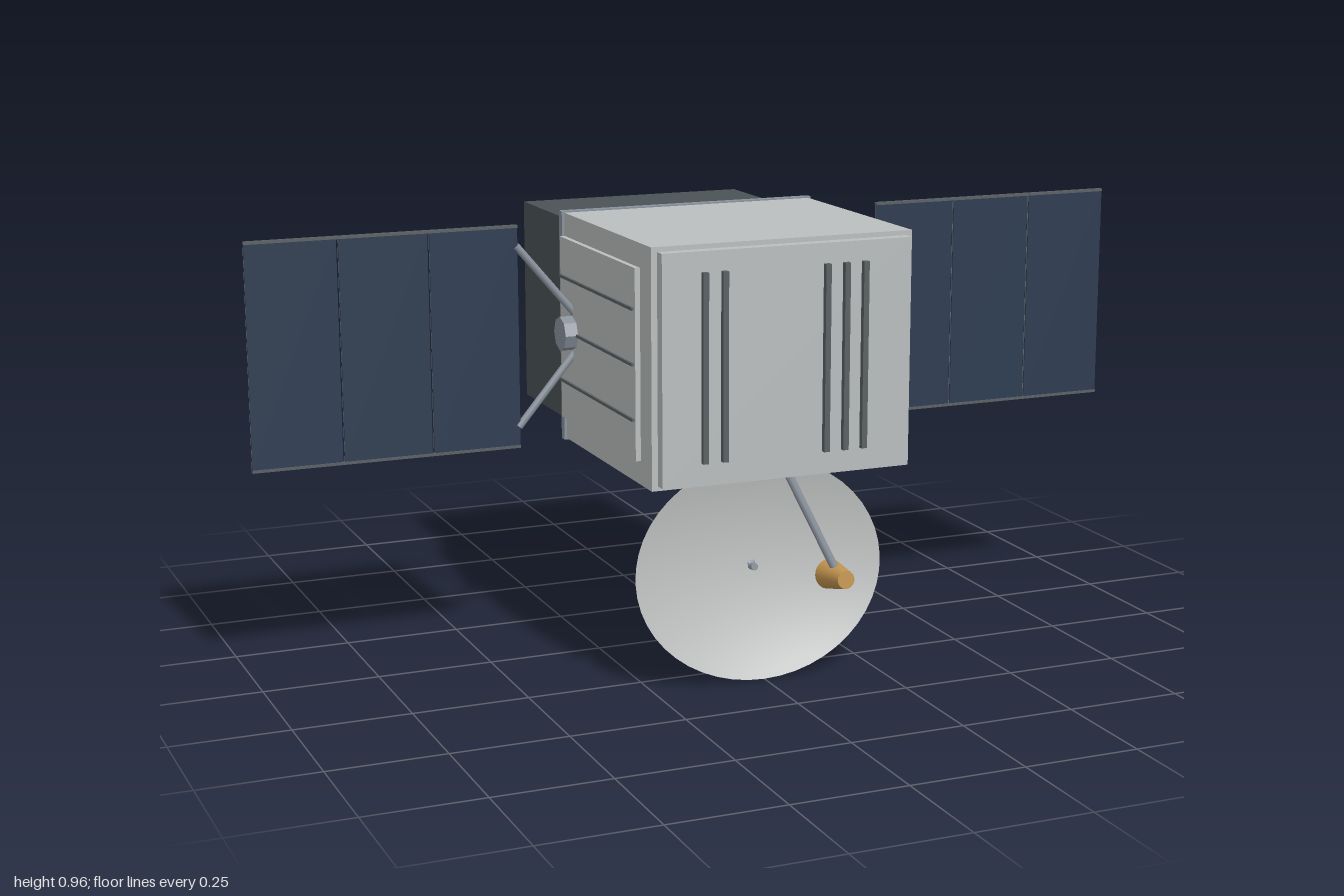
import * as THREE from 'three';

const mat = (name, color) => {
  const m = new THREE.MeshStandardMaterial({ color });
  m.name = name;
  return m;
};

export function createModel() {
  const hull = mat('pale hull', 0xbabebe);
  const dishMat = mat('dish grey', 0xbfc1c1);
  dishMat.side = THREE.DoubleSide;
  const dark = mat('dark slate', 0x4a5356);
  const steel = mat('steel grey', 0x89929c);
  const trim = mat('dark trim', 0x5a6064);
  const navy = mat('navy cells', 0x2d3c51);
  const gold = mat('gold', 0xc29450);

  const model = new THREE.Group();
  model.name = 'satellite';

  const add = (name, geometry, material, parent = model) => {
    const mesh = new THREE.Mesh(geometry, material);
    mesh.name = name;
    parent.add(mesh);
    return mesh;
  };
  // Box given by its minimum and maximum on each axis
  const box = (name, x0, x1, y0, y1, z0, z1, material, parent) => {
    const g = new THREE.BoxGeometry(x1 - x0, y1 - y0, z1 - z0);
    g.translate((x0 + x1) / 2, (y0 + y1) / 2, (z0 + z1) / 2);
    return add(name, g, material, parent);
  };
  // Round bar or cone from point a to point b
  const rod = (name, a, b, ra, rb, material, parent, sides = 10) => {
    const from = new THREE.Vector3(...a), to = new THREE.Vector3(...b);
    const dir = to.clone().sub(from);
    const mesh = add(name, new THREE.CylinderGeometry(rb, ra, dir.length(), sides), material, parent);
    mesh.position.copy(from).add(to).multiplyScalar(0.5);
    mesh.quaternion.setFromUnitVectors(new THREE.Vector3(0, 1, 0), dir.normalize());
    return mesh;
  };

  // Main body, front cover, collar and rear module
  box('body', -0.288, 0.288, 0.462, 0.958, -0.086, 0.415, hull);
  box('frontCover', -0.275, 0.275, 0.472, 0.948, 0.415, 0.44, hull);
  box('collar', -0.294, 0.294, 0.459, 0.961, -0.103, -0.085, steel);
  box('rearModule', -0.26, 0.26, 0.486, 0.934, -0.435, -0.103, dark);

  // Slats on the front cover
  for (const x of [-0.185, -0.142, 0.083, 0.126, 0.168]) {
    box('frontSlat', x - 0.006, x + 0.006, 0.517, 0.906, 0.44, 0.452, trim);
  }

  // Docking ring on the rear
  const ringShape = new THREE.Shape().absarc(0, 0, 0.19, 0, Math.PI * 2);
  ringShape.holes.push(new THREE.Path().absarc(0, 0, 0.115, 0, Math.PI * 2, true));
  const ring = add('rearRing',
    new THREE.ExtrudeGeometry(ringShape, { depth: 0.045, bevelEnabled: false, curveSegments: 32 }), steel);
  ring.position.set(0, 0.71, -0.48);

  // Side plates, rails and solar wings, the same on both sides
  const zWing = -0.014;
  for (const s of [1, -1]) {
    const side = new THREE.Group();
    side.name = s > 0 ? 'leftSide' : 'rightSide';
    model.add(side);
    const sideBox = (name, x0, x1, ...rest) =>
      box(name, Math.min(s * x0, s * x1), Math.max(s * x0, s * x1), ...rest, side);

    sideBox('sidePlate', 0.286, 0.299, 0.512, 0.908, -0.085, 0.355, hull);
    for (const y of [0.596, 0.71, 0.824]) {
      sideBox('sideRail', 0.297, 0.304, y - 0.003, y + 0.003, -0.082, 0.348, trim);
    }

    // Wing hub and struts
    const hub = rod('wingHub', [s * 0.29, 0.71, zWing], [s * 0.327, 0.71, zWing], 0.037, 0.037, steel, side, 8);
    hub.geometry = hub.geometry.toNonIndexed();
    hub.geometry.computeVertexNormals();
    for (const d of [1, -1]) {
      rod('wingStrut', [s * 0.287, 0.71 + d * 0.035, zWing], [s * 0.422, 0.71 + d * 0.195, zWing],
        0.008, 0.008, steel, side);
      sideBox('wingEdge', 0.42, 1, 0.71 + d * 0.237 - 0.003, 0.71 + d * 0.237 + 0.003,
        zWing - 0.005, zWing + 0.005, trim);
    }

    // Three panels with narrow gaps, cells in front and a grey back
    const w = 0.58 / 3;
    for (let i = 0; i < 3; i++) {
      const x0 = 0.42 + i * w + (i ? 0.002 : 0);
      const x1 = 0.42 + (i + 1) * w - (i < 2 ? 0.002 : 0);
      sideBox('solarCells', x0, x1, 0.473, 0.947, zWing, zWing + 0.003, navy);
      sideBox('panelBack', x0, x1, 0.473, 0.947, zWing - 0.003, zWing, steel);
      for (const y of [0.535, 0.885]) {
        sideBox('panelBackLine', x0, x1, y - 0.0015, y + 0.0015, zWing - 0.004, zWing - 0.003, navy);
      }
    }
  }

  // Oval dish facing forward and slightly up
  const R = 0.282, depth = 0.045;
  const profile = [];
  for (let i = 0; i <= 12; i++) {
    const t = i / 12;
    profile.push(new THREE.Vector2(R * t, depth * (t * t - 1)));
  }
  const dish = add('dish', new THREE.LatheGeometry(profile, 48), dishMat);
  dish.position.set(0, 0.237, 0.305);
  dish.rotation.x = Math.PI / 2 - 0.11;
  dish.scale.z = 0.838;

  // Dish supports and centre pin
  for (const s of [1, -1]) {
    rod('dishStrut', [s * 0.1, 0.47, 0.094], [0, 0.232, 0.259], 0.008, 0.008, steel);
  }
  rod('dishPin', [0, 0.232, 0.256], [0, 0.235, 0.278], 0.008, 0.008, steel);

  // Feed horn on its arm
  rod('feedArm', [0.015, 0.48, 0.391], [0.117, 0.25, 0.438], 0.009, 0.009, steel);
  rod('feedHorn', [0.117, 0.239, 0.397], [0.117, 0.248, 0.479], 0.032, 0.019, gold, model, 24);

  return model;
}
